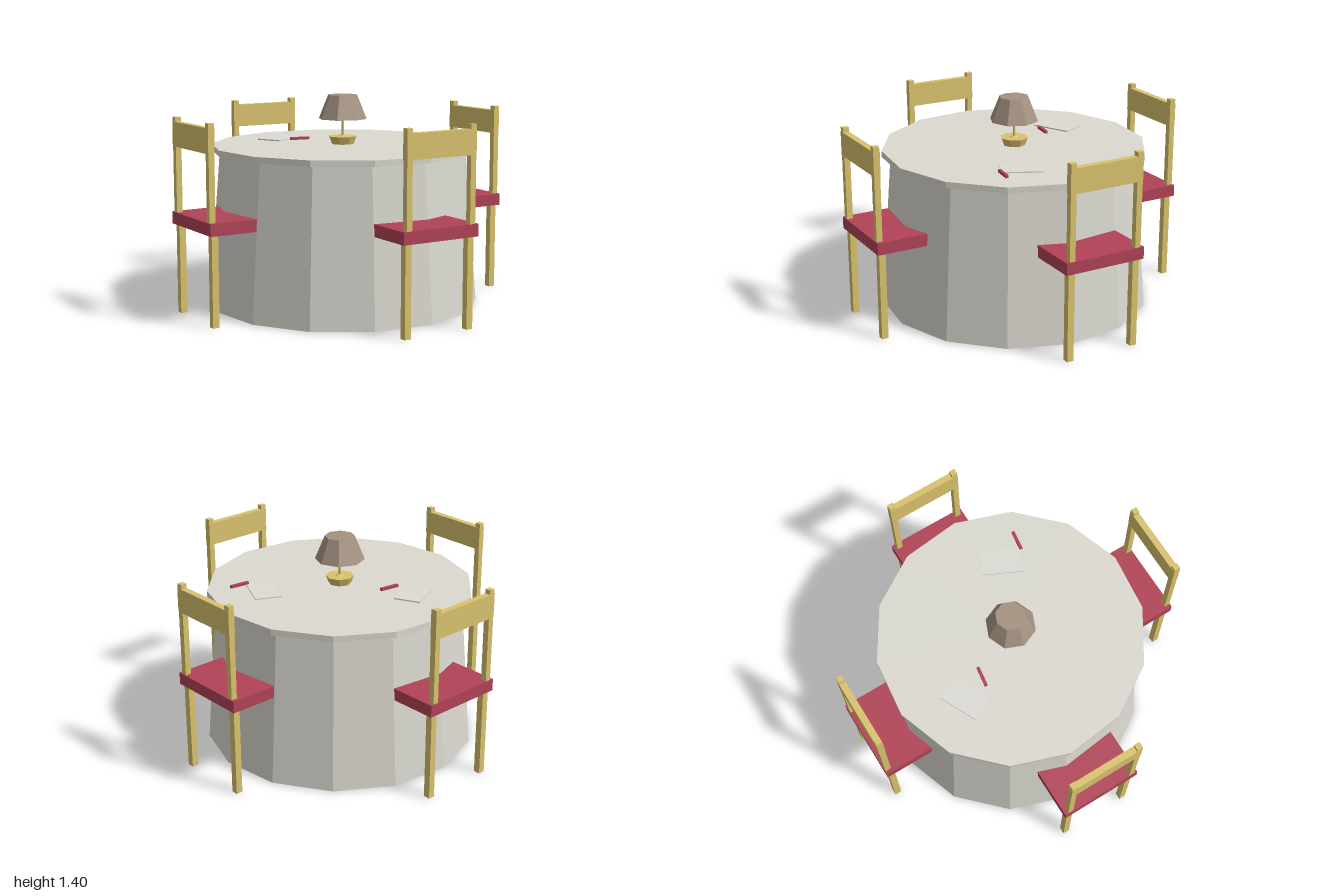
import * as THREE from 'three';

const mat = (name, color) => {
  const m = new THREE.MeshStandardMaterial({ color, flatShading: true });
  m.name = name;
  return m;
};

export function createModel() {
  const cloth = mat('tablecloth', 0xdbd9d0);
  const paper = mat('paper', 0xdcdbd5);
  const wood = mat('yellow wood', 0xd9c26e);
  const red = mat('red', 0xb04356);
  const shade = mat('lampshade', 0xa59280);

  const model = new THREE.Group();
  model.name = 'diningTable';

  const add = (parent, name, geometry, material, x, y, z) => {
    const mesh = new THREE.Mesh(geometry, material);
    mesh.name = name;
    mesh.position.set(x, y, z);
    parent.add(mesh);
    return mesh;
  };
  const box = (parent, name, material, w, h, d, x, y, z) =>
    add(parent, name, new THREE.BoxGeometry(w, h, d), material, x, y, z);
  // Faceted frustum standing on y0
  const frustum = (parent, name, material, rTop, rBottom, y0, y1, sides) =>
    add(parent, name, new THREE.CylinderGeometry(rTop, rBottom, y1 - y0, sides), material, 0, (y0 + y1) / 2, 0);

  // Table: draped body and overhanging top
  frustum(model, 'tableDrape', cloth, 0.83, 0.913, 0, 1.03, 14);
  frustum(model, 'tableTop', cloth, 0.887, 0.887, 1.03, 1.07, 14);

  // Four chairs on the diagonals, local +z pointing away from the table
  for (let i = 0; i < 4; i++) {
    const chair = new THREE.Group();
    chair.name = 'chair' + (i + 1);
    chair.rotation.y = Math.PI / 4 + i * Math.PI / 2;
    box(chair, 'seat', red, 0.56, 0.08, 0.5, 0, 0.63, 0.885);
    for (const s of [-1, 1]) {
      box(chair, 'backLeg', wood, 0.045, 0.59, 0.045, s * 0.234, 0.295, 1.095);
      box(chair, 'frontLeg', wood, 0.045, 0.59, 0.045, s * 0.234, 0.295, 0.67);
      box(chair, 'backPost', wood, 0.04, 0.62, 0.04, s * 0.237, 0.98, 1.11);
    }
    box(chair, 'backRail', wood, 0.516, 0.16, 0.044, 0, 1.18, 1.11);
    model.add(chair);
  }

  // Table lamp
  const lamp = new THREE.Group();
  lamp.name = 'lamp';
  frustum(lamp, 'lampBase', wood, 0.095, 0.075, 1.07, 1.122, 8);
  frustum(lamp, 'lampCollar', wood, 0.02, 0.03, 1.122, 1.13, 8);
  frustum(lamp, 'lampStem', wood, 0.008, 0.008, 1.12, 1.26, 8);
  frustum(lamp, 'lampShade', shade, 0.1, 0.165, 1.24, 1.4, 8);
  model.add(lamp);

  // Sheets of paper, mirrored, each with a pen
  for (const s of [-1, 1]) {
    box(model, 'paperSheet', paper, 0.176, 0.008, 0.27, s * 0.492, 1.074, -0.18).rotation.y = s * 0.34;
  }
  for (const x of [-0.33, 0.66]) {
    box(model, 'pen', red, 0.135, 0.018, 0.02, x, 1.085, -0.112).rotation.y = 0.65;
  }

  return model;
}
